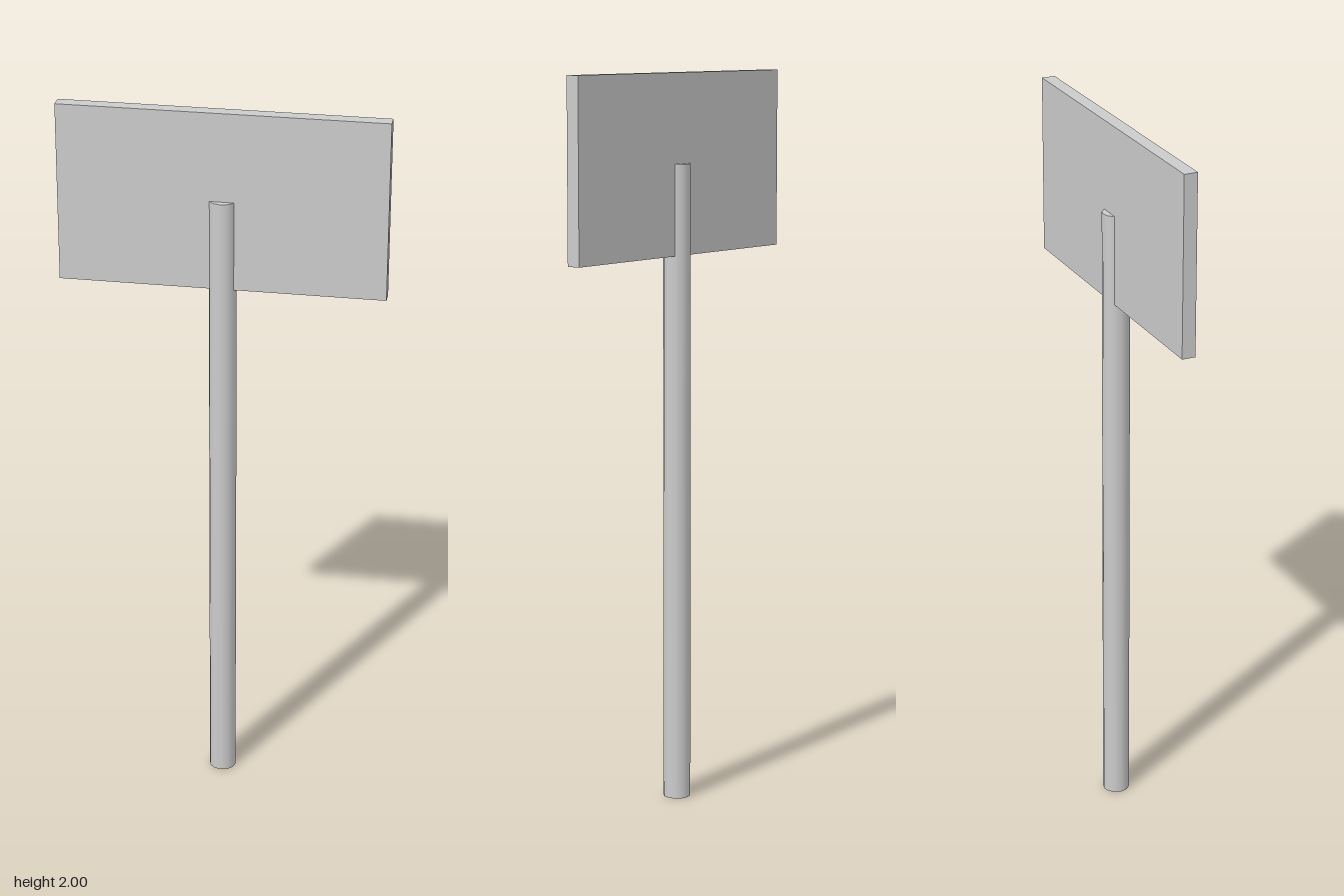
import * as THREE from 'three';

export function createModel() {
  const group = new THREE.Group();
  group.name = 'signpost';
  const grey = new THREE.MeshStandardMaterial({ color: 0xcccccc });
  grey.name = 'light grey';

  const add = (name, geometry, y) => {
    const mesh = new THREE.Mesh(geometry, grey);
    mesh.name = name;
    mesh.position.y = y;
    group.add(mesh);
  };

  // Round pole, ending halfway up the board
  const poleHeight = 1.757;
  add('pole', new THREE.CylinderGeometry(0.0375, 0.0375, poleHeight, 12), poleHeight / 2);

  // Flat sign board, with the pole showing on both faces
  const boardHeight = 0.49;
  add('board', new THREE.BoxGeometry(0.875, boardHeight, 0.0375), 2 - boardHeight / 2);

  return group;
}
